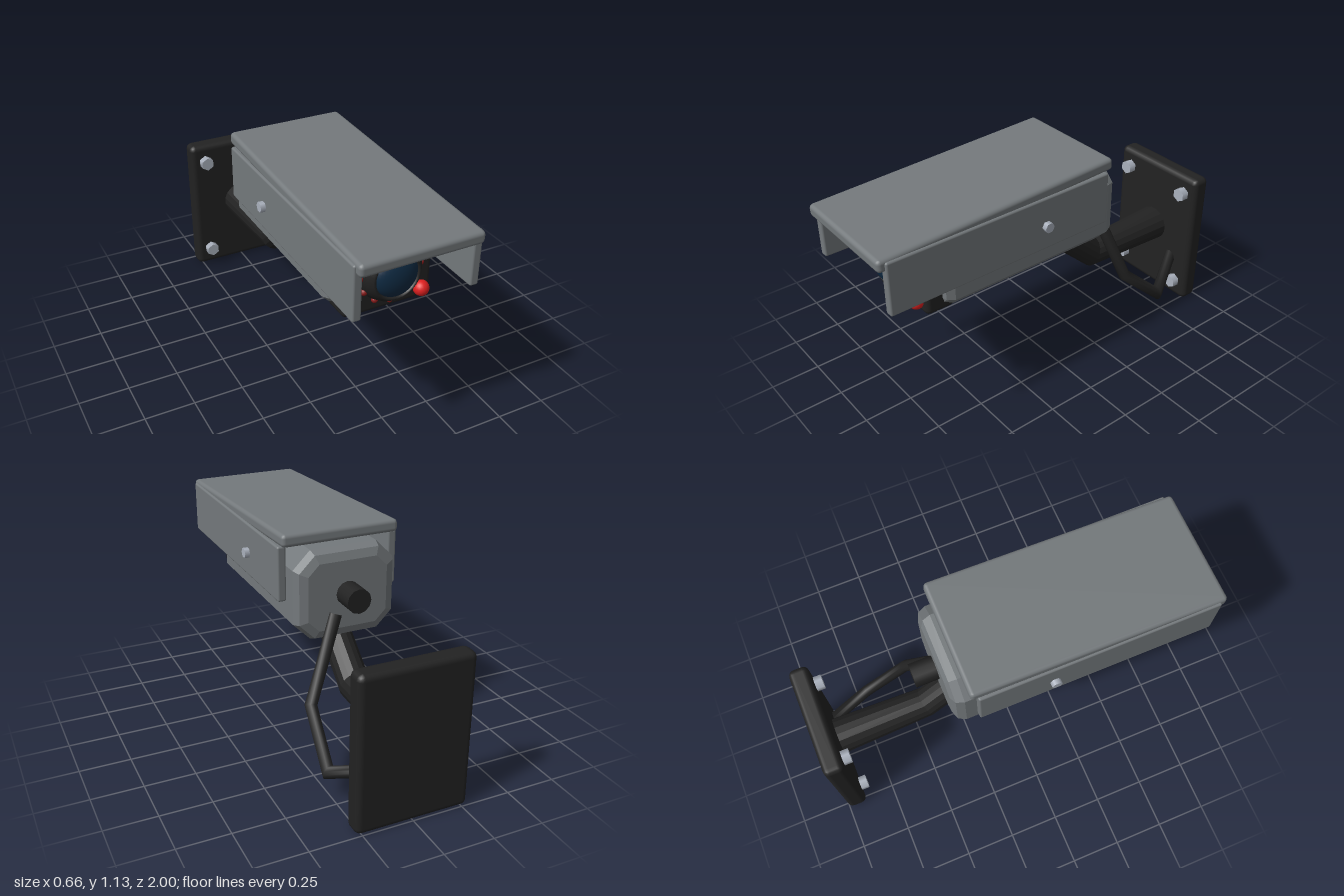
import * as THREE from 'three';
import { RoundedBoxGeometry } from 'three/addons/geometries/RoundedBoxGeometry.js';

const mat = (name, color, flatShading = false) => {
  const m = new THREE.MeshStandardMaterial({ color, flatShading });
  m.name = name;
  return m;
};

// Mitred tube through straight segments, with a radius at each point
function sweep(path, radii, sides) {
  const P = path.map(p => new THREE.Vector3(...p));
  const dirs = P.slice(1).map((p, i) => p.clone().sub(P[i]).normalize());
  const u = new THREE.Vector3(1, 0, 0);
  u.addScaledVector(dirs[0], -u.dot(dirs[0])).normalize();
  const v = dirs[0].clone().cross(u);
  let ring = [];
  for (let k = 0; k < sides; k++) {
    const a = (k + 0.5) / sides * Math.PI * 2;
    ring.push(u.clone().multiplyScalar(Math.cos(a)).addScaledVector(v, Math.sin(a)));
  }
  const pos = [], idx = [];
  P.forEach((p, i) => {
    if (i > 0) {
      // slide the ring along the segment on to the mitre plane
      const d = dirs[i - 1];
      const n = d.clone().add(dirs[i] || d).normalize();
      ring = ring.map(o => o.clone().addScaledVector(d, -o.dot(n) / d.dot(n)));
    }
    ring.forEach(o => pos.push(...p.clone().addScaledVector(o, radii[i]).toArray()));
  });
  for (let i = 0; i < P.length - 1; i++) {
    for (let k = 0; k < sides; k++) {
      const a = i * sides + k, b = i * sides + (k + 1) % sides;
      idx.push(a, b, a + sides, b, b + sides, a + sides);
    }
  }
  // end caps
  const last = (P.length - 1) * sides;
  for (let k = 1; k < sides - 1; k++) {
    idx.push(0, k + 1, k, last, last + k, last + k + 1);
  }
  const g = new THREE.BufferGeometry();
  g.setAttribute('position', new THREE.Float32BufferAttribute(pos, 3));
  g.setIndex(idx);
  g.computeVertexNormals();
  return g;
}

// Rectangle with cut corners
function chamferedRect(w, h, c) {
  const pts = [[w - c, -h], [w, c - h], [w, h - c], [w - c, h], [c - w, h], [-w, h - c], [-w, c - h], [c - w, -h]];
  return new THREE.Shape(pts.map(p => new THREE.Vector2(...p)));
}

export function createModel() {
  const group = new THREE.Group();
  group.name = 'securityCamera';
  const grey = mat('housing grey', 0x74797c);
  const black = mat('matte black', 0x222222);
  const blackFlat = mat('matte black', 0x222222, true);
  const steel = mat('bolt steel', 0xaab1bd);
  const red = mat('indicator red', 0xdf2020);
  const darkRed = mat('infrared red', 0x8c1c1c);
  const navy = mat('lens blue', 0x0f2a42);

  const add = (name, geometry, material, x = 0, y = 0, z = 0) => {
    const m = new THREE.Mesh(geometry, material);
    m.name = name;
    m.position.set(x, y, z);
    group.add(m);
    return m;
  };

  // Wall plate and its four hex bolts
  add('wallPlate', new RoundedBoxGeometry(0.56, 0.765, 0.1, 2, 0.03), black, 0, 0.39, -0.95);
  const plateBolt = new THREE.CylinderGeometry(0.037, 0.037, 0.05, 6).rotateX(Math.PI / 2);
  for (const x of [-0.2, 0.2]) {
    for (const y of [0.11, 0.675]) add('plateBolt', plateBolt, steel, x, y, -0.885);
  }

  // Bent arm and ball joint
  add('arm', sweep([[0, 0.397, -0.92], [0, 0.4, -0.42], [0, 0.67, -0.12]], [0.094, 0.077, 0.075], 16), blackFlat);
  add('ballJoint', new THREE.SphereGeometry(0.127, 20, 14), black, 0, 0.67, -0.125);

  // Cable and rear gland
  add('cable', sweep([[0.14, 0.255, -0.92], [0.265, 0.145, -0.69], [0.24, 0.36, -0.45], [0.07, 0.75, -0.355]],
    [0.03, 0.03, 0.03, 0.03], 10), black);
  add('cableGland', new THREE.CylinderGeometry(0.06, 0.06, 0.14, 12).rotateX(Math.PI / 2), black, 0, 0.838, -0.385);

  // Bevelled housing
  const bevel = 0.055;
  const body = new THREE.ExtrudeGeometry(chamferedRect(0.255 - bevel, 0.22 - bevel, 0.055), {
    depth: 1.01 - bevel * 2, bevelSize: bevel, bevelThickness: bevel, bevelSegments: 2,
  });
  add('housing', body, grey, 0, 0.834, -0.34 + bevel);

  // Front face
  add('facePlate', new RoundedBoxGeometry(0.44, 0.37, 0.15, 2, 0.025), black, 0, 0.83, 0.67);

  // Lens ring, lens and ring of infrared lights
  const ringProfile = [[0.152, 0.73], [0.15, 0.755], [0.136, 0.79], [0.118, 0.815], [0.106, 0.815], [0.1, 0.77]];
  const ring = new THREE.LatheGeometry(ringProfile.map(p => new THREE.Vector2(...p)).reverse(), 32);
  ring.rotateX(Math.PI / 2);
  const ringMat = mat('matte black', 0x222222);
  ringMat.side = THREE.DoubleSide;
  add('lensRing', ring, ringMat, 0, 0.845, 0);
  const lens = add('lens', new THREE.SphereGeometry(0.107, 32, 20), navy, 0, 0.845, 0.795);
  lens.scale.z = 0.5;
  const led = new THREE.SphereGeometry(0.016, 10, 8);
  for (let i = 0; i < 12; i++) {
    const a = i / 12 * Math.PI * 2;
    add('infraredLight', led, darkRed, Math.cos(a) * 0.149, 0.845 + Math.sin(a) * 0.149, 0.757);
  }
  add('indicatorLight', new THREE.SphereGeometry(0.037, 18, 14), red, 0.16, 0.707, 0.762);

  // Sun shield: tilted roof, side panels and their bolts
  const roof = add('shieldRoof', new RoundedBoxGeometry(0.59, 0.062, 1.268, 2, 0.02), grey, 0, 1.077, 0.365);
  roof.rotation.x = 0.04;
  const panel = new RoundedBoxGeometry(0.043, 0.268, 1.2, 2, 0.01);
  const sideBolt = new THREE.CylinderGeometry(0.026, 0.026, 0.05, 6).rotateZ(Math.PI / 2);
  for (const s of [-1, 1]) {
    add('shieldSide', panel, grey, s * 0.284, 0.936, 0.366);
    add('sideBolt', sideBolt, steel, s * 0.306, 0.926, 0.14);
  }
  return group;
}
